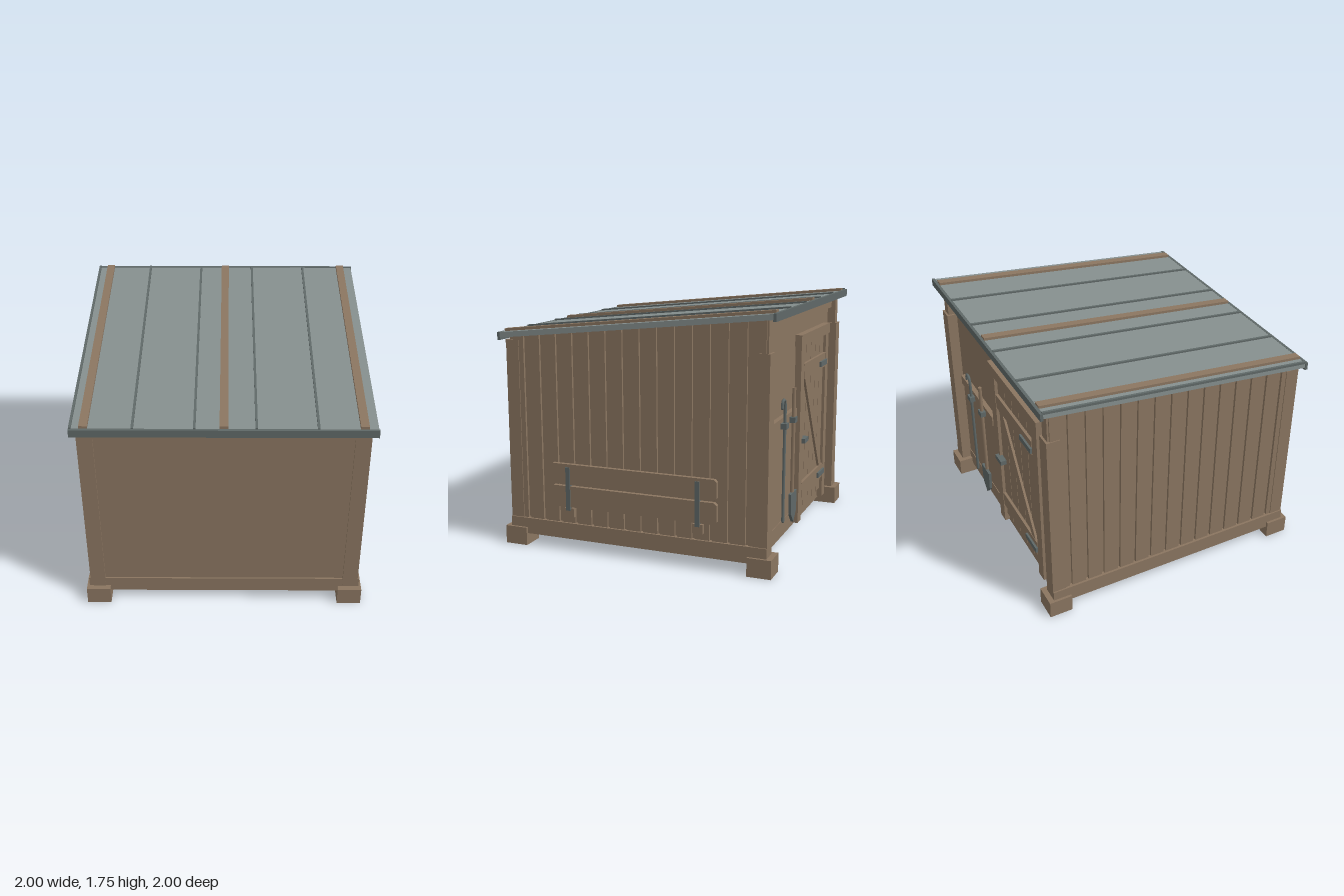
import * as THREE from 'three';

const mat = (name, color) => {
  const m = new THREE.MeshStandardMaterial({ color });
  m.name = name;
  return m;
};

export function createModel() {
  const root = new THREE.Group();
  root.name = 'shed';
  const wood = mat('weathered wood', 0x8a7560);
  const zinc = mat('roof metal', 0x858e8d);
  const iron = mat('dark iron', 0x5f6867);

  const SLOPE = 0.103;
  const underRoof = (z) => 1.592 - SLOPE * z;

  const add = (name, geometry, material, parent = root) => {
    const m = new THREE.Mesh(geometry, material);
    m.name = name;
    parent.add(m);
    return m;
  };
  // box given by its limits on each axis
  const boxGeo = (x0, x1, y0, y1, z0, z1) =>
    new THREE.BoxGeometry(x1 - x0, y1 - y0, z1 - z0)
      .translate((x0 + x1) / 2, (y0 + y1) / 2, (z0 + z1) / 2);
  const box = (name, material, ...limits) => add(name, boxGeo(...limits), material);
  // move vertices up or down by a rule
  const bend = (geo, rule) => {
    const p = geo.attributes.position;
    for (let i = 0; i < p.count; i++) p.setY(i, rule(p.getY(i), p.getZ(i)));
    geo.computeVertexNormals();
    return geo;
  };
  // box whose top is cut to the underside of the roof
  const underRoofBox = (name, x0, x1, y0, z0, z1) =>
    add(name, bend(boxGeo(x0, x1, y0, 2, z0, z1), (y, z) => (y > 1.9 ? underRoof(z) : y)), wood);
  // box tilted with the roof, heights given at z = 0
  const roofBox = (name, material, x0, x1, y0, y1, z0, z1) =>
    add(name, bend(boxGeo(x0, x1, y0, y1, z0, z1), (y, z) => y - SLOPE * z), material);
  // bar between two points on the back face
  const bar = (name, material, a, b, width, z0, z1) => {
    const dx = b[0] - a[0], dy = b[1] - a[1];
    const m = add(name, new THREE.BoxGeometry(Math.hypot(dx, dy), width, z1 - z0), material);
    m.position.set((a[0] + b[0]) / 2, (a[1] + b[1]) / 2, (z0 + z1) / 2);
    m.rotation.z = Math.atan2(dy, dx);
  };

  // footings, corner posts and side walls
  for (const s of [-1, 1]) {
    const mx = (a, b) => (s > 0 ? [a, b] : [-b, -a]);
    for (const t of [-1, 1]) {
      const mz = (a, b) => (t > 0 ? [a, b] : [-b, -a]);
      box('footing', wood, ...mx(0.82, 0.99), 0, 0.13, ...mz(0.825, 0.993));
      box('cornerPost', wood, ...mx(0.855, 0.962), 0.13, 1.475, ...mz(0.858, 0.955));
    }
    underRoofBox('upperPost', ...mx(0.87, 0.945), 1.475, -0.94, -0.86);
    box('sideSill', wood, ...mx(0.87, 0.972), 0.085, 0.2, -0.955, 0.955);
    underRoofBox('sideWall', ...mx(0.9, 0.938), 0.2, -0.935, 0.93);
    for (let i = 0; i < 15; i++) {
      const z = 0.875 - i * 0.125;
      underRoofBox('sideBoard', ...mx(0.93, 0.956), 0.2, z - 0.0525, z + 0.0525);
    }
  }

  // front wall
  box('frontSill', wood, -0.965, 0.965, 0.085, 0.2, 0.87, 0.953);
  box('frontWall', wood, -0.9, 0.9, 0.2, 1.48, 0.9, 0.942);
  box('frontHeader', wood, -0.95, 0.95, 1.433, 1.475, 0.92, 0.965);

  // back wall
  box('backSill', wood, -0.87, 0.87, 0.085, 0.2, -0.885, -0.78);
  underRoofBox('backWall', -0.9, 0.9, 0.13, -0.88, -0.84);
  box('backHeader', wood, -0.94, 0.94, 1.6, 1.665, -0.91, -0.87);

  // roof
  roofBox('roofSheet', zinc, -0.995, 0.995, 1.592, 1.63, -0.99, 0.99);
  for (let i = 0; i < 5; i++) {
    const x = -0.99 + i * 0.4;
    roofBox('roofSeam', iron, x - 0.008, x + 0.008, 1.625, 1.642, -0.985, 0.985);
  }
  for (const x of [-0.905, 0, 0.905]) {
    roofBox('roofBatten', wood, x - 0.028, x + 0.028, 1.625, 1.649, -0.98, 0.98);
  }
  box('frontFascia', iron, -1, 1, 1.475, 1.53, 0.98, 1);
  box('backFascia', iron, -1, 1, 1.682, 1.735, -1, -0.98);

  // door frame
  box('doorJamb', wood, -0.73, -0.645, 0.1, 1.49, -0.925, -0.87);
  box('doorJamb', wood, 0.0, 0.085, 0.1, 1.49, -0.925, -0.87);
  box('doorLintel', wood, -0.745, 0.1, 1.41, 1.49, -0.93, -0.87);

  // door boards, ledges and brace
  for (let i = 0; i < 5; i++) {
    const x = -0.642 + i * 0.128;
    box('doorBoard', wood, x, x + 0.122, 0.17, 1.4, -0.905, -0.87);
  }
  box('doorLedge', wood, -0.635, -0.01, 1.16, 1.27, -0.925, -0.9);
  box('doorLedge', wood, -0.635, -0.01, 0.27, 0.38, -0.925, -0.9);
  bar('doorBrace', wood, [-0.07, 1.17], [-0.58, 0.37], 0.06, -0.922, -0.9);
  for (const y of [1.2, 0.32]) box('hinge', iron, -0.645, -0.46, y - 0.02, y + 0.02, -0.94, -0.92);
  box('latch', iron, -0.075, 0.03, 0.69, 0.725, -0.95, -0.9);

  // tool rail with brackets
  box('toolRail', wood, 0.14, 0.79, 0.9, 0.975, -0.915, -0.87);
  for (const x of [0.525, 0.3]) box('toolBracket', iron, x - 0.03, x + 0.03, 0.905, 0.945, -0.955, -0.91);

  // hooked iron bar
  const hook = [[0.525, 0.25], [0.525, 0.7], [0.525, 1.07], [0.535, 1.1], [0.56, 1.11], [0.585, 1.1], [0.592, 1.06]];
  const path = new THREE.CatmullRomCurve3(hook.map(([x, y]) => new THREE.Vector3(x, y, -0.935)));
  add('hookBar', new THREE.TubeGeometry(path, 40, 0.011, 8), iron);
  for (const [x, y] of [hook[0], hook[6]]) {
    add('barEnd', new THREE.SphereGeometry(0.011, 8, 6), iron).position.set(x, y, -0.935);
  }

  // spade
  add('spadeShaft', new THREE.CylinderGeometry(0.014, 0.014, 0.77, 8), wood).position.set(0.3, 0.765, -0.935);
  const blade = new THREE.Shape([[-0.075, 0.4], [-0.065, 0.25], [0, 0.18], [0.065, 0.25], [0.075, 0.4]]
    .map(([x, y]) => new THREE.Vector2(x, y)));
  add('spadeBlade', new THREE.ExtrudeGeometry(blade, { depth: 0.02, bevelEnabled: false }), iron)
    .position.set(0.3, 0, -0.95);

  // folded bench on the side: two planks with clipped corners
  const plank = (y0, y1) => {
    const w = 0.615, c = 0.018;
    const s = new THREE.Shape([[-w, y0 + c], [-w + c, y0], [w - c, y0], [w, y0 + c],
      [w, y1 - c], [w - c, y1], [-w + c, y1], [-w, y1 - c]].map(([z, y]) => new THREE.Vector2(z, y)));
    const m = add('benchPlank', new THREE.ExtrudeGeometry(s, { depth: 0.03, bevelEnabled: false }), wood);
    m.rotation.y = Math.PI / 2;
    m.position.x = 0.96;
  };
  plank(0.325, 0.475);
  plank(0.488, 0.633);
  for (const z of [-0.48, 0.48]) {
    box('benchStrap', iron, 0.96, 0.997, 0.3, 0.612, z - 0.016, z + 0.016);
    box('benchBracket', wood, 0.95, 0.985, 0.25, 0.315, z - 0.037, z + 0.037);
  }
  return root;
}
